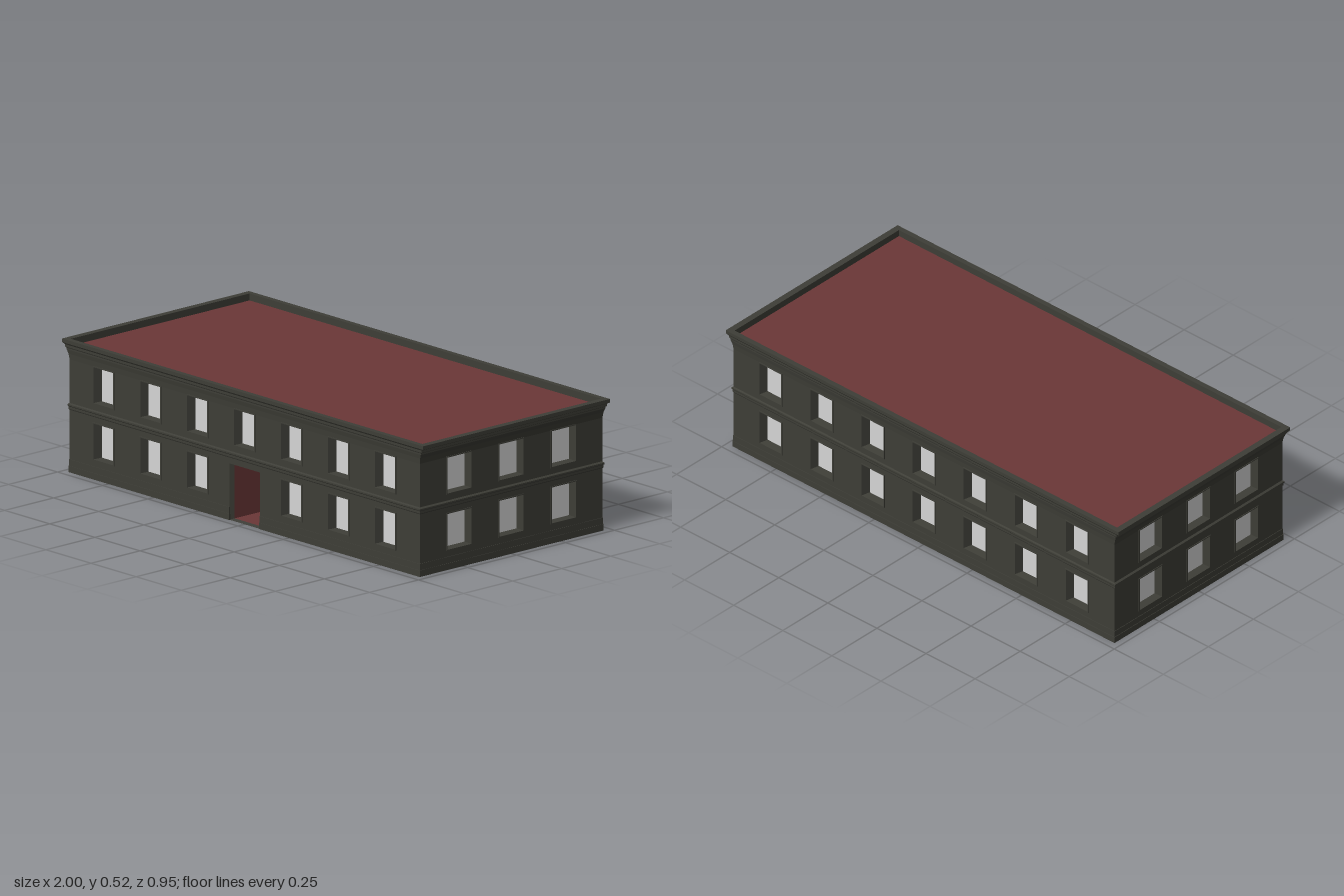
import * as THREE from 'three';

const X = 0.97, Z = 0.466;          // half extents of the wall planes
const WALL_TOP = 0.45, DEPTH = 0.03;
const DOOR = { w: 0.085, h: 0.22 }; // half width, height
const FLOORS = [0.148, 0.368];      // window centre heights

const stone = new THREE.MeshStandardMaterial({ color: 0x3e3e37 });
const red = new THREE.MeshStandardMaterial({ color: 0x6c3737 });
const glass = new THREE.MeshStandardMaterial({ color: 0xd6d6d6 });
stone.name = 'darkStone';
red.name = 'darkRed';
glass.name = 'paleGlass';
red.side = THREE.DoubleSide;

// Rectangular rings [halfX, halfZ, y] joined by flat faces
function loft(rings) {
  const pos = [];
  const corners = ([a, b, y]) => [[-a, y, b], [a, y, b], [a, y, -b], [-a, y, -b]];
  for (let r = 0; r < rings.length - 1; r++) {
    const lo = corners(rings[r]), hi = corners(rings[r + 1]);
    for (let i = 0; i < 4; i++) {
      const j = (i + 1) % 4;
      pos.push(...lo[i], ...lo[j], ...hi[j], ...lo[i], ...hi[j], ...hi[i]);
    }
  }
  const g = new THREE.BufferGeometry();
  g.setAttribute('position', new THREE.Float32BufferAttribute(pos, 3));
  g.computeVertexNormals();
  return g;
}

function add(parent, name, geometry, material, x = 0, y = 0, z = 0) {
  const m = new THREE.Mesh(geometry, material);
  m.name = name;
  m.position.set(x, y, z);
  parent.add(m);
  return m;
}

// Surround with a splayed reveal and a recessed pane, facing +z
function addWindow(parent, x, y, w, h, inset) {
  const frame = loft([
    [w, h, 0], [w, h, 0.003], [w - 0.005, h - 0.004, 0.003],
    [w - inset, h - 0.007, -DEPTH],
  ]).rotateX(Math.PI / 2);
  add(parent, 'windowFrame', frame, stone, x, y, 0);
  add(parent, 'windowPane', new THREE.PlaneGeometry(2 * (w - inset), 2 * (h - 0.007)), glass, x, y, -DEPTH);
}

// One wall panel facing +z with window holes and an optional doorway
function facade(name, half, columns, w, inset, hasDoor) {
  const group = new THREE.Group();
  group.name = name;
  const h = 0.074;
  const outline = [[-half, 0]];
  if (hasDoor) outline.push([-DOOR.w, 0], [-DOOR.w, DOOR.h], [DOOR.w, DOOR.h], [DOOR.w, 0]);
  outline.push([half, 0], [half, WALL_TOP], [-half, WALL_TOP]);
  const shape = new THREE.Shape(outline.map(([x, y]) => new THREE.Vector2(x, y)));

  for (const y of FLOORS) {
    for (const x of columns) {
      if (hasDoor && x === 0 && y === FLOORS[0]) continue;
      const hole = [[-w, -h], [-w, h], [w, h], [w, -h]];
      shape.holes.push(new THREE.Path(hole.map(([a, b]) => new THREE.Vector2(x + a, y + b))));
      addWindow(group, x, y, w, h, inset);
    }
  }
  add(group, 'wall', new THREE.ShapeGeometry(shape), stone);

  // Stepped plinth, broken at the doorway
  const spans = hasDoor ? [[-half, -DOOR.w], [DOOR.w, half]] : [[-half, half]];
  for (const [a, b] of spans) {
    for (const [y0, y1, out] of [[0, 0.025, 0.004], [0.025, 0.05, 0.002]]) {
      add(group, 'plinth', new THREE.BoxGeometry(b - a + out, y1 - y0, out * 2),
        stone, (a + b) / 2, (y0 + y1) / 2, 0);
    }
  }
  return group;
}

export function createModel() {
  const model = new THREE.Group();
  model.name = 'building';
  const longCols = [-3, -2, -1, 0, 1, 2, 3].map(i => i * 0.26);
  const shortCols = [-1, 0, 1].map(i => i * 0.267);

  // Four walls
  const front = facade('frontFacade', X, longCols, 0.06, 0.016, true);
  front.position.z = Z;
  const back = facade('backFacade', X, longCols, 0.06, 0.016, false);
  back.position.z = -Z;
  back.rotation.y = Math.PI;
  const left = facade('leftFacade', Z, shortCols, 0.066, 0.01, false);
  left.position.x = X;
  left.rotation.y = Math.PI / 2;
  const right = facade('rightFacade', Z, shortCols, 0.066, 0.01, false);
  right.position.x = -X;
  right.rotation.y = -Math.PI / 2;
  model.add(front, back, left, right);

  // Doorway: stone reveal leading into a red passage
  const dh = DOOR.h / 2;
  add(model, 'doorSurround', loft([
    [DOOR.w, dh, 0], [DOOR.w - 0.008, dh - 0.003, -0.02],
  ]).rotateX(Math.PI / 2), stone, 0, dh, Z);
  add(model, 'doorPassage', loft([
    [DOOR.w - 0.008, dh - 0.003, -0.02], [DOOR.w - 0.008, dh - 0.003, -0.4],
  ]).rotateX(Math.PI / 2), red, 0, dh, Z);
  add(model, 'passageEnd', new THREE.PlaneGeometry(2 * DOOR.w, DOOR.h), red, 0, dh, Z - 0.4);

  // Moulded band between the storeys
  add(model, 'storeyBand', loft([
    [X, Z, 0.243], [X + 0.004, Z + 0.002, 0.247], [X + 0.004, Z + 0.002, 0.256],
    [X + 0.007, Z + 0.004, 0.259], [X + 0.007, Z + 0.004, 0.265], [X, Z, 0.27],
  ]), stone);

  // Cornice flaring out to a parapet rim
  add(model, 'cornice', loft([
    [X, Z, 0.44], [0.974, 0.468, 0.462], [0.981, 0.471, 0.478], [0.981, 0.471, 0.484],
    [0.988, 0.473, 0.488], [0.988, 0.473, 0.497], [1, 0.477, 0.503], [1, 0.477, 0.517],
    [0.974, 0.456, 0.517], [0.974, 0.456, 0.488],
  ]), stone);

  // Flat roof and underside
  add(model, 'roof', new THREE.PlaneGeometry(1.948, 0.912).rotateX(-Math.PI / 2), red, 0, 0.49, 0);
  add(model, 'underside', new THREE.PlaneGeometry(2 * X, 2 * Z).rotateX(Math.PI / 2), stone);
  return model;
}
